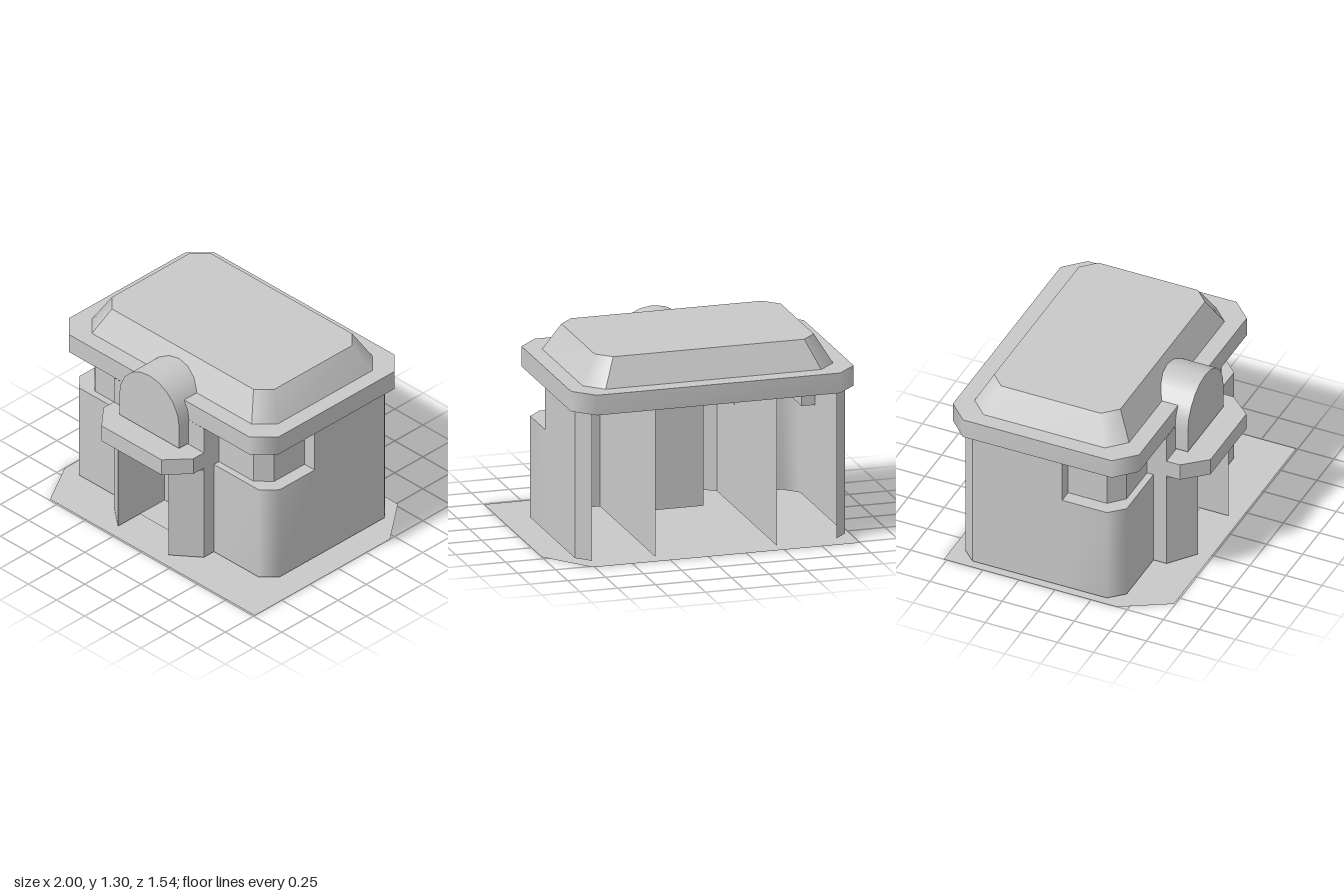
import * as THREE from 'three';

const stone = new THREE.MeshStandardMaterial({ color: 0xc8c8c8, side: THREE.DoubleSide });
stone.name = 'pale grey stone';

// Surface between two outlines of [x, z] points at heights ya and yb
function skin(a, ya, b, yb, { smooth = false, closed = false } = {}) {
  const n = a.length, pos = [], index = [];
  a.forEach(([x, z]) => pos.push(x, ya, z));
  b.forEach(([x, z]) => pos.push(x, yb, z));
  for (let i = 0; i < (closed ? n : n - 1); i++) {
    const j = (i + 1) % n;
    index.push(i, j, n + j, i, n + j, n + i);
  }
  let geo = new THREE.BufferGeometry();
  geo.setAttribute('position', new THREE.Float32BufferAttribute(pos, 3));
  geo.setIndex(index);
  if (!smooth) geo = geo.toNonIndexed();
  geo.computeVertexNormals();
  return geo;
}

const wall = (path, y0, y1, opts) => skin(path, y0, path, y1, opts);

// Horizontal plate from an outline of [x, z] points, with an optional hole
function plate(outline, y, hole) {
  const toVec = ([x, z]) => new THREE.Vector2(x, -z);
  const shape = new THREE.Shape(outline.map(toVec));
  if (hole) shape.holes.push(new THREE.Path(hole.map(toVec)));
  return new THREE.ShapeGeometry(shape).rotateX(-Math.PI / 2).translate(0, y, 0);
}

// Rectangle with cut corners, counterclockwise from above
function octagon(hx, z0, z1, c) {
  return [[-hx + c, z1], [hx - c, z1], [hx, z1 - c], [hx, z0 + c],
    [hx - c, z0], [-hx + c, z0], [-hx, z0 + c], [-hx, z1 - c]];
}

export function createModel() {
  const model = new THREE.Group();
  const building = new THREE.Group();
  building.name = 'building';
  building.position.x = -0.068;
  model.add(building);
  const add = (name, geo, parent = building) => {
    const mesh = new THREE.Mesh(geo, stone);
    mesh.name = name;
    parent.add(mesh);
  };

  // Ground sheet with two cut corners
  add('ground', plate([[-1, -0.77], [-1, 0.43], [-0.82, 0.74], [1, 0.74], [1, -0.46], [0.76, -0.77]], 0), model);

  // Mirrored side wings, open at the back
  const base = 0.014, ledge = 0.678, eave = 0.995;
  for (const s of [1, -1]) {
    const side = s > 0 ? 'left' : 'right';
    const m = (pts) => {
      const out = pts.map(([x, z]) => [s * x, z]);
      return s > 0 ? out : out.reverse();
    };
    const lower = [[0.4, 0.435], [0.8, 0.435], [0.89, 0.34], [0.89, 0.03]];
    const upper = [[0.4, 0.39], [0.705, 0.39], [0.8, 0.3], [0.8, 0.03], [0.89, 0.03]];
    add(side + 'LowerFrontWall', wall(m(lower), base, ledge, { smooth: true }));
    add(side + 'UpperRecessedWall', wall(m(upper), ledge, eave));
    add(side + 'Ledge', plate(m([...lower, ...upper.slice(0, 4).reverse()]), ledge));
    add(side + 'SideWall', wall(m([[0.89, 0.03], [0.89, -0.59], [0.805, -0.68]]), base, eave));
    add(side + 'Partition', wall(m([[0.4, 0.525], [0.4, -0.72]]), base, eave));
    add(side + 'DoorPillar', wall(m([[0.225, 0.25], [0.225, 0.663], [0.4, 0.525]]), base, ledge));
  }

  // Doorway and porch
  add('doorBackWall', wall([[-0.225, 0.25], [0.225, 0.25]], base, ledge));
  add('doorFloor', plate([[-0.225, 0.47], [0.225, 0.47], [0.225, 0.25], [-0.225, 0.25]], base));
  add('porchFront', wall([[-0.4, 0.525], [0.4, 0.525]], ledge, eave));

  // Canopy slab over the door
  const canopy = [[-0.4, 0.525], [-0.4, 0.617], [-0.267, 0.768], [0.267, 0.768], [0.4, 0.617], [0.4, 0.525]];
  add('canopySides', wall(canopy, 0.695, 0.81));
  add('canopyTop', plate(canopy, 0.81));
  add('canopyUnderside', plate(canopy, 0.695));

  // Round-topped gable running back under the roof
  const r = 0.266, springY = 0.98, footY = 0.82, segments = 10;
  const arch = [[r, footY]];
  for (let i = 0; i <= segments; i++) {
    const t = (i / segments) * Math.PI;
    arch.push([r * Math.cos(t), springY + r * Math.sin(t)]);
  }
  arch.push([-r, footY]);
  const archShape = new THREE.Shape(arch.map(([x, y]) => new THREE.Vector2(x, y)));
  add('gableFace', new THREE.ShapeGeometry(archShape).translate(0, 0, 0.61));
  // Sweep the arch upright, then lay it down along z
  const upright = arch.map(([x, y]) => [x, -y]);
  add('gableBarrel', wall(upright, -0.27, 0.61, { smooth: true }).rotateX(Math.PI / 2));

  // Hollow roof: brim, flat rim, sloped sides and top
  const rimY = 1.125, topY = 1.303;
  const brim = octagon(0.931, -0.768, 0.522, 0.13);
  const foot = octagon(0.825, -0.66, 0.41, 0.115);
  const crown = octagon(0.7225, -0.562, 0.313, 0.093);
  add('roofBrim', wall(brim, 0.993, rimY, { smooth: true, closed: true }));
  add('roofRim', plate(brim, rimY, foot));
  // Corners blend into the end slopes and stay sharp against front and back
  const slopes = { Front: [0, 1], Left: [1, 2, 3, 4], Back: [4, 5], Right: [5, 6, 7, 0] };
  for (const [side, ids] of Object.entries(slopes)) {
    add('roofSlope' + side, skin(ids.map((i) => foot[i]), rimY, ids.map((i) => crown[i]), topY, { smooth: true }));
  }
  add('roofTop', plate(crown, topY));

  return model;
}
